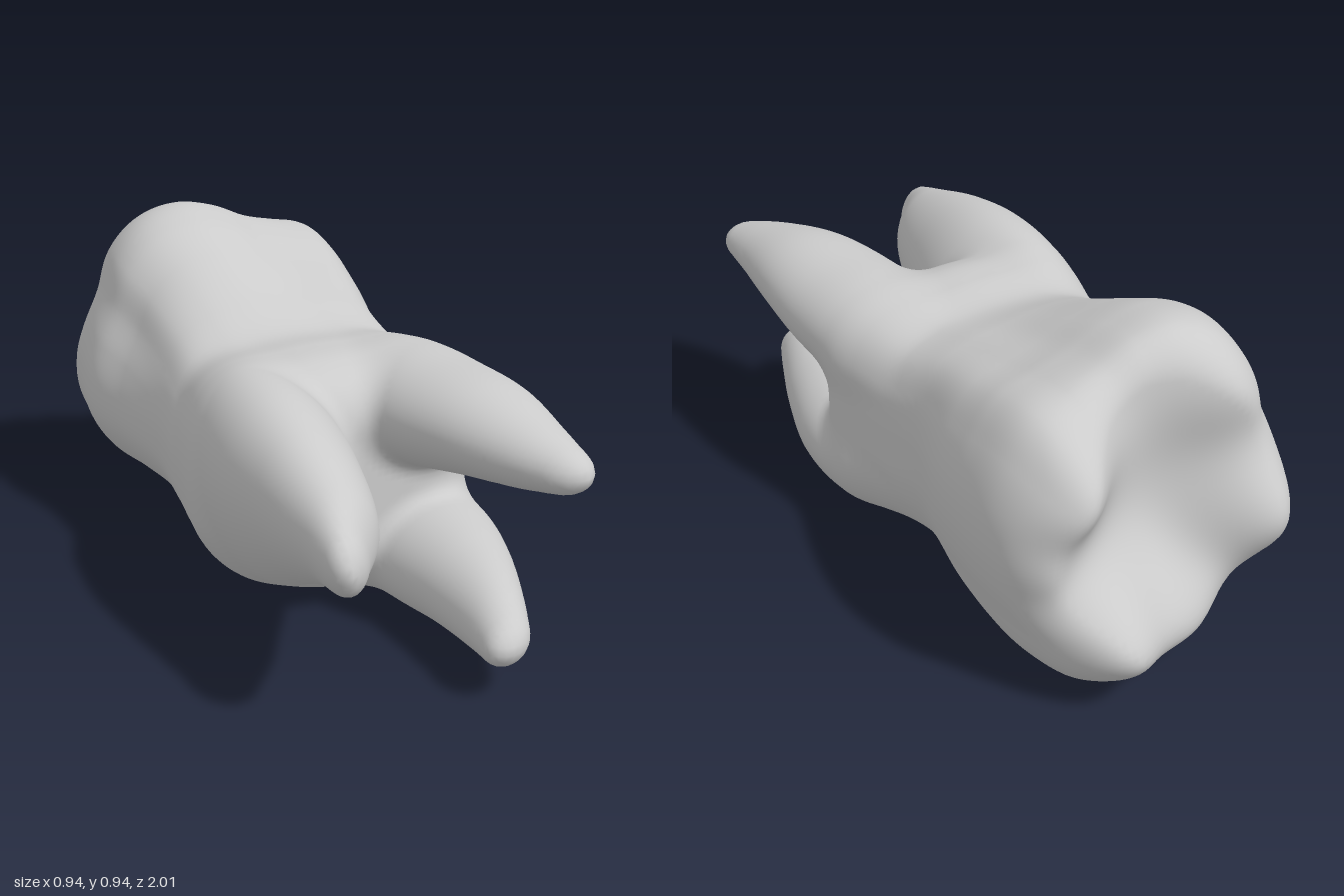
import * as THREE from 'three';

// Cross-sections along z: [z, xMin, xMax, yMin, yMax]
const trunk = [
  [-1.05, -0.31, 0.34, 0.12, 0.72], [-0.85, -0.39, 0.43, 0.03, 0.87], [-0.7, -0.43, 0.465, 0.012, 0.938],
  [-0.55, -0.455, 0.46, 0.015, 0.92], [-0.4, -0.425, 0.43, 0.03, 0.86], [-0.2, -0.4, 0.365, 0.055, 0.77],
  [-0.05, -0.41, 0.36, 0.04, 0.715], [0.1, -0.435, 0.37, 0.02, 0.725], [0.22, -0.44, 0.375, 0.02, 0.715],
  [0.44, -0.28, 0.27, 0.16, 0.62]];
const roots = [
  // broad left-hand root
  { shear: -0.12, rows: [[-0.15, -0.3, -0.1, 0.2, 0.6], [0.05, -0.41, -0.04, 0.13, 0.69], [0.2, -0.45, -0.05, 0.11, 0.73],
    [0.4, -0.47, -0.075, 0.17, 0.735], [0.6, -0.46, -0.14, 0.27, 0.70], [0.8, -0.445, -0.22, 0.36, 0.635],
    [0.92, -0.445, -0.31, 0.40, 0.585], [1.0, -0.445, -0.36, 0.43, 0.55]] },
  // upper root
  { shear: 0, rows: [[-0.15, 0.06, 0.26, 0.45, 0.6], [0.05, 0.02, 0.34, 0.40, 0.69], [0.2, 0.0, 0.385, 0.40, 0.73],
    [0.4, 0.01, 0.395, 0.43, 0.735], [0.6, 0.055, 0.38, 0.475, 0.73], [0.8, 0.13, 0.345, 0.51, 0.685],
    [0.97, 0.22, 0.32, 0.545, 0.63]] },
  // lower root
  { shear: 0.1, rows: [[-0.15, 0.06, 0.26, 0.14, 0.3], [0.05, 0.02, 0.34, 0.05, 0.34], [0.2, 0.0, 0.385, 0.008, 0.33],
    [0.4, 0.02, 0.375, 0.012, 0.315], [0.6, 0.035, 0.31, 0.042, 0.295], [0.8, 0.035, 0.22, 0.07, 0.26],
    [0.97, 0.015, 0.135, 0.105, 0.2]] }];

// Outline radius every 15 degrees, counterclockwise from +x
const crownOutline = [1, 1.01, 1.02, 1.02, 0.92, 0.89, 0.957, 1.035, 1.065, 1.03, 0.95, 0.96,
  0.99, 1.01, 0.975, 0.91, 0.92, 0.94, 0.97, 1.04, 1.1, 1.09, 1.02, 1];
const neckOutline = [1, 1.03, 1.1, 1.15, 1.09, 1.01, 0.99, 1.01, 1.06, 1.1, 1.06, 1.02,
  1, 1, 0.98, 0.95, 0.93, 0.94, 0.96, 1.02, 1.09, 1.12, 1.08, 1.03];

// Cusps and marginal ridges: [x, y, height, spread]
const cusps = [[-0.22, 0.78, 0.13, 0.2], [0.34, 0.66, 0.195, 0.18], [0.24, 0.2, 0.275, 0.2],
  [-0.29, 0.4, 0.225, 0.2], [-0.05, 0.14, 0.15, 0.17], [0.42, 0.44, 0.06, 0.1]];

// Polynomial smooth minimum and maximum
const smin = (a, b, k) => {
  const h = Math.max(k - Math.abs(a - b), 0) / k;
  return Math.min(a, b) - h * h * k / 4;
};
const smax = (a, b, k) => -smin(-a, -b, k);

const hermite = (p0, p1, m0, m1, t) => {
  const t2 = t * t, t3 = t2 * t;
  return (2 * t3 - 3 * t2 + 1) * p0 + (t3 - 2 * t2 + t) * m0 + (3 * t2 - 2 * t3) * p1 + (t3 - t2) * m1;
};

// Smooth interpolation of a cross-section table
function section(rows, z) {
  const n = rows.length - 1;
  if (z <= rows[0][0]) return rows[0];
  if (z >= rows[n][0]) return rows[n];
  let i = 0;
  while (z > rows[i + 1][0]) i++;
  const a = rows[Math.max(i - 1, 0)], b = rows[i], c = rows[i + 1], d = rows[Math.min(i + 2, n)];
  const w = c[0] - b[0];
  return b.map((v, j) => hermite(v, c[j], (c[j] - a[j]) / (c[0] - a[0]) * w,
    (d[j] - b[j]) / (d[0] - b[0]) * w, (z - b[0]) / w));
}

// Smooth closed outline radius at an angle
function outline(table, angle) {
  const n = table.length, s = (angle / (2 * Math.PI) + 1) * n, i = Math.floor(s);
  const [a, b, c, d] = [i - 1, i, i + 1, i + 2].map((k) => table[k % n]);
  return hermite(b, c, (c - a) / 2, (d - b) / 2, s - i);
}

// Signed field of one cross-section, its radius given by shape(angle)
function oval(rows, x, y, z, shear, shape) {
  const [, x0, x1, y0, y1] = section(rows, z);
  const rx = (x1 - x0) / 2, ry = (y1 - y0) / 2, dy = y - (y0 + y1) / 2;
  const u = (x - (x0 + x1) / 2 - shear * dy) / rx, v = dy / ry;
  return (Math.hypot(u, v) / shape(Math.atan2(v, u)) - 1) * Math.min(rx, ry);
}

// Whole tooth: negative inside
function field(x, y, z) {
  let chew = -0.73;
  for (const [cx, cy, h, s] of cusps) chew -= h * Math.exp(-((x - cx) ** 2 + (y - cy) ** 2) / (s * s));
  const neck = THREE.MathUtils.smoothstep(z, -0.5, -0.05);
  let f = oval(trunk, x, y, z, 0, (angle) =>
    THREE.MathUtils.lerp(outline(crownOutline, angle), outline(neckOutline, angle), neck));
  f = smax(f, (chew - z) * 0.75, 0.07);
  f = smax(f, z - 0.36, 0.12);
  for (const { rows, shear } of roots) {
    let r = oval(rows, x, y, z, shear, () => 1);
    r = smax(r, z - rows[rows.length - 1][0] - 0.004, 0.07);
    r = smax(r, -0.1 - z, 0.1);
    f = smin(f, r, 0.05);
  }
  return f;
}

function gradient(x, y, z) {
  const e = 0.004;
  return new THREE.Vector3(
    field(x + e, y, z) - field(x - e, y, z),
    field(x, y + e, z) - field(x, y - e, z),
    field(x, y, z + e) - field(x, y, z - e)).divideScalar(2 * e);
}

// Grid the field and join one vertex per crossed cell into quads
function surfaceGeometry(min, max, step) {
  const size = min.map((m, i) => Math.ceil((max[i] - m) / step) + 1);
  const stride = [1, size[0], size[0] * size[1]];
  const values = new Float32Array(size[0] * size[1] * size[2]);
  const each = (fn) => {
    for (let k = 0; k < size[2]; k++) for (let j = 0; j < size[1]; j++) for (let i = 0; i < size[0]; i++) {
      fn([i, j, k], i + j * stride[1] + k * stride[2]);
    }
  };
  each((c, id) => { values[id] = field(...c.map((v, a) => min[a] + v * step)); });

  const positions = [], normals = [], index = [], cell = new Map();
  each((c, id) => {
    if (c.some((v, a) => v >= size[a] - 1)) return;
    const sum = [0, 0, 0];
    let count = 0;
    for (let corner = 0; corner < 8; corner++) for (let a = 0; a < 3; a++) {
      if (corner >> a & 1) continue;
      const o = [corner & 1, corner >> 1 & 1, corner >> 2 & 1];
      const p = id + o[0] * stride[0] + o[1] * stride[1] + o[2] * stride[2];
      const v0 = values[p], v1 = values[p + stride[a]];
      if ((v0 < 0) === (v1 < 0)) continue;
      o[a] = v0 / (v0 - v1);
      o.forEach((v, q) => { sum[q] += v; });
      count++;
    }
    if (!count) return;
    const p = new THREE.Vector3(...sum.map((s, a) => min[a] + (c[a] + s / count) * step));
    // Settle the vertex onto the surface
    const g = gradient(p.x, p.y, p.z);
    const shift = -field(p.x, p.y, p.z) / Math.max(g.lengthSq(), 0.1);
    p.addScaledVector(g, THREE.MathUtils.clamp(shift, -step / 2, step / 2));
    const n = gradient(p.x, p.y, p.z).normalize();
    cell.set(id, positions.length / 3);
    positions.push(p.x, p.y, p.z);
    normals.push(n.x, n.y, n.z);
  });
  each((c, id) => {
    for (let a = 0; a < 3; a++) {
      if (c[a] >= size[a] - 1) continue;
      const inside = values[id] < 0;
      if (inside === (values[id + stride[a]] < 0)) continue;
      const u = stride[(a + 1) % 3], v = stride[(a + 2) % 3];
      const q = [id, id - u, id - u - v, id - v].map((k) => cell.get(k));
      if (!inside) q.reverse();
      index.push(q[0], q[1], q[2], q[0], q[2], q[3]);
    }
  });

  const geometry = new THREE.BufferGeometry();
  geometry.setAttribute('position', new THREE.Float32BufferAttribute(positions, 3));
  geometry.setAttribute('normal', new THREE.Float32BufferAttribute(normals, 3));
  geometry.setIndex(index);
  return geometry;
}

export function createModel() {
  const group = new THREE.Group();
  group.name = 'molar';
  const tooth = new THREE.Mesh(surfaceGeometry([-0.57, -0.1, -1.15], [0.57, 1.05, 1.13], 0.02),
    new THREE.MeshStandardMaterial({ color: 0xcccccc }));
  tooth.name = 'crownAndRoots';
  group.add(tooth);
  return group;
}
